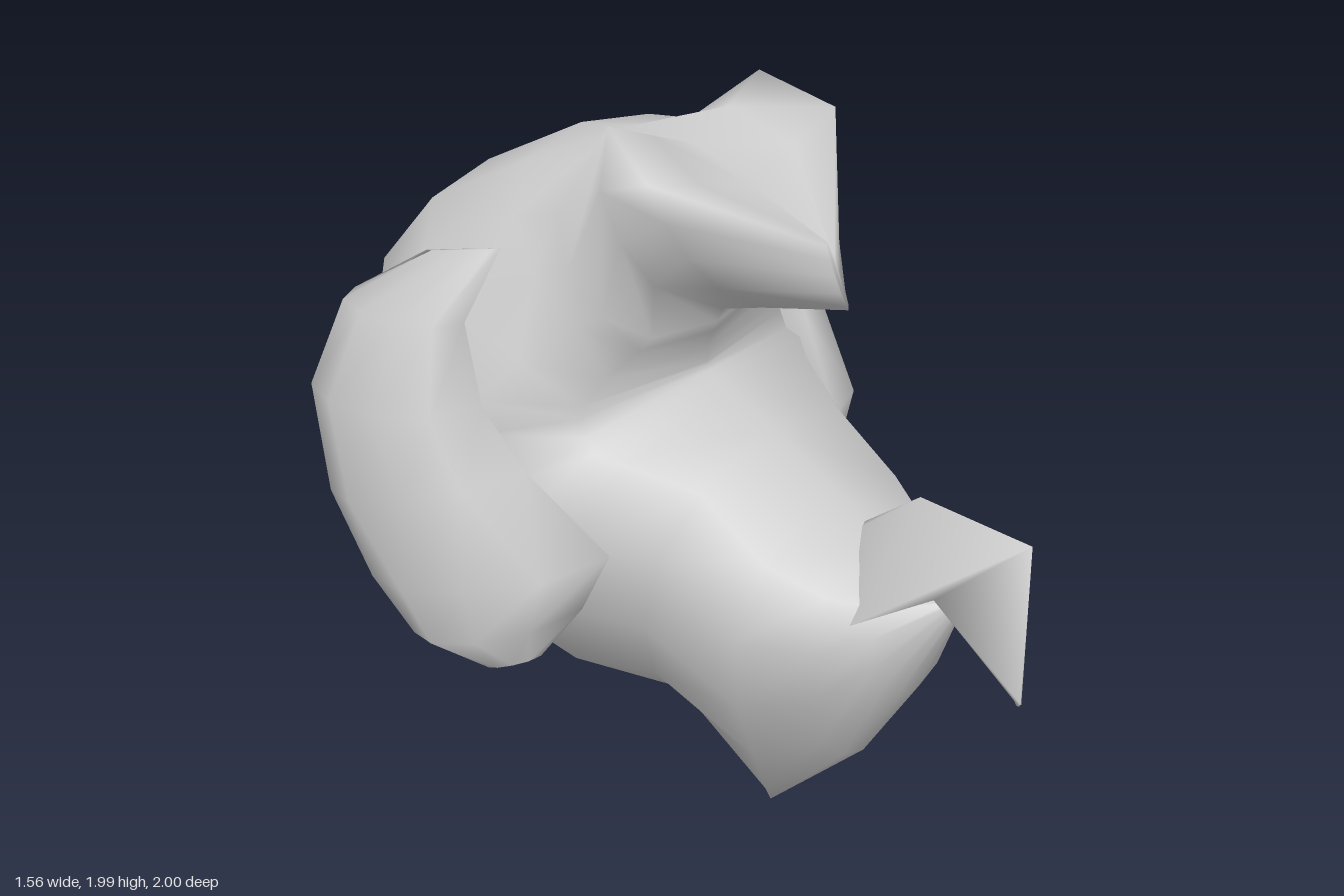
import * as THREE from 'three';

const material = new THREE.MeshStandardMaterial({ color: 0xcccccc, side: THREE.DoubleSide });

// Skin closed rings of points, cap both ends and face the surface outward
function loft(rings) {
  const n = rings[0].length, pos = [], index = [];
  rings.forEach(r => r.forEach(p => pos.push(...p)));
  for (let i = 0; i < rings.length - 1; i++) {
    for (let j = 0; j < n; j++) {
      const a = i * n + j, b = i * n + (j + 1) % n;
      index.push(a, b, b + n, a, b + n, a + n);
    }
  }
  const last = (rings.length - 1) * n;
  for (let j = 1; j < n - 1; j++) {
    index.push(0, j + 1, j);
    index.push(last, last + j, last + j + 1);
  }
  // signed volume tells whether the winding must be reversed
  const v = i => new THREE.Vector3().fromArray(pos, i * 3);
  let volume = 0;
  for (let i = 0; i < index.length; i += 3) {
    volume += v(index[i]).dot(v(index[i + 1]).cross(v(index[i + 2])));
  }
  if (volume < 0) index.reverse();
  const g = new THREE.BufferGeometry();
  g.setAttribute('position', new THREE.Float32BufferAttribute(pos, 3));
  g.setIndex(index);
  g.computeVertexNormals();
  return g;
}

function addMesh(group, name, geometry) {
  const mesh = new THREE.Mesh(geometry, material);
  mesh.name = name;
  group.add(mesh);
}

const lerp = THREE.MathUtils.lerp;

// Head: inner z, y, outer z, y, half width, taper outward
// Crest stations: inner z, y, outer z, y, corner lift, half widths from inner to outer
const headStations = [
  [0.45, 1.60, 0.38, 1.75, 0.01, 0],
  [0.20, 1.53, 0.16, 1.83, 0.32, [0, 0.15, 0.24, 0.30, 0.34, 0.17, 0]],
  [0.08, 1.49, -0.01, 1.89, 0.27, [0, 0.22, 0.30, 0.33, 0.27, 0.135, 0]],
  [0.06, 1.45, -0.22, 1.885, 0.38, 0.05],
  [0.05, 1.42, -0.38, 1.86, 0.42, 0.10],
  [0.03, 1.37, -0.73, 1.68, 0.56, 0.25],
  [0.03, 1.33, -0.98, 1.43, 0.69, 0.43],
  [0.03, 1.32, -1.00, 1.10, 0.70, 0.44],
  [0.04, 1.31, -0.83, 0.58, 0.70, 0.40],
  [0.06, 1.30, -0.58, 0.37, 0.73, 0.45],
  [0.10, 1.28, -0.34, 0.26, 0.66, 0.57],
  [0.25, 1.21, 0.10, 0.40, 0.49, 0.30],
  [0.45, 1.10, 0.27, 0.01, 0.50, 0.92],
  [0.58, 1.01, 0.57, 0.36, 0.38, 0.60],
  [0.67, 0.95, 0.72, 0.65, 0.21, 0.30],
  [0.78, 0.94, 0.81, 0.90, 0.02, 0],
];

function headGeometry() {
  const sides = 12;
  return loft(headStations.map(([iz, iy, oz, oy, size, shape]) => {
    const ring = [];
    for (let j = 0; j < sides; j++) {
      const k = Math.min(j, sides - j), sign = j > 6 ? -1 : 1;
      let x, t;
      if (Array.isArray(shape)) {
        // crest: flanks rise to raised corners, with a valley between them
        x = shape[k];
        t = k <= 4 ? k / 4 * (1 + size) : 1 + size * (6 - k) / 2;
      } else {
        const a = k / sides * Math.PI * 2;
        t = (1 - Math.cos(a)) / 2;
        x = Math.abs(Math.sin(a)) ** 0.8 * size * (1 - shape * t);
      }
      ring.push([sign * x, lerp(iy, oy, t), lerp(iz, oz, t)]);
    }
    return ring;
  }));
}

// Horn: front z, y, back z, y, front x, back x, outward bulge
const hornStations = [
  [-0.19, 1.73, -0.33, 1.72, 0.47, 0.57, 0.01],
  [-0.22, 1.57, -0.60, 1.55, 0.57, 0.58, 0.10],
  [-0.17, 1.37, -0.71, 1.31, 0.58, 0.58, 0.18],
  [-0.07, 1.22, -0.66, 1.02, 0.55, 0.58, 0.22],
  [0.11, 1.01, -0.53, 0.82, 0.46, 0.58, 0.24],
  [0.05, 0.85, -0.37, 0.71, 0.50, 0.60, 0.20],
  [0.00, 0.74, -0.14, 0.67, 0.60, 0.64, 0.04],
];

function hornGeometry(side) {
  const sides = 10;
  return loft(hornStations.map(([fz, fy, bz, by, fx, bx, bulge]) => {
    const ring = [];
    for (let j = 0; j < sides; j++) {
      const a = j / sides * Math.PI * 2, s = Math.sin(a), t = (1 - Math.cos(a)) / 2;
      const out = s > 0 ? bulge * s ** 0.75 : 0.1 * bulge * s;
      ring.push([side * (lerp(fx, bx, t) + out), lerp(fy, by, t), lerp(fz, bz, t)]);
    }
    return ring;
  }));
}

// Beak: ridge point, wing point and underside point at each step
function beakGeometry() {
  const steps = [
    // ridge y, z, wing x, y, z, underside y, z
    [1.06, 0.53, 0.01, 1.05, 0.53, 1.04, 0.54],
    [1.19, 0.68, 0.19, 0.90, 0.63, 0.95, 0.64],
    [1.18, 0.98, 0.12, 1.02, 0.81, 1.02, 0.81],
    [0.74, 1.00, 0.005, 0.735, 1.00, 0.73, 0.99],
  ];
  return loft(steps.map(([ry, rz, x, y, z, uy, uz]) =>
    [[0, ry, rz], [x, y, z], [0, uy, uz], [-x, y, z]]));
}

export function createModel() {
  const model = new THREE.Group();
  model.name = 'hornedHead';
  addMesh(model, 'head', headGeometry());
  addMesh(model, 'leftHorn', hornGeometry(1));
  addMesh(model, 'rightHorn', hornGeometry(-1));
  addMesh(model, 'beak', beakGeometry());
  return model;
}
